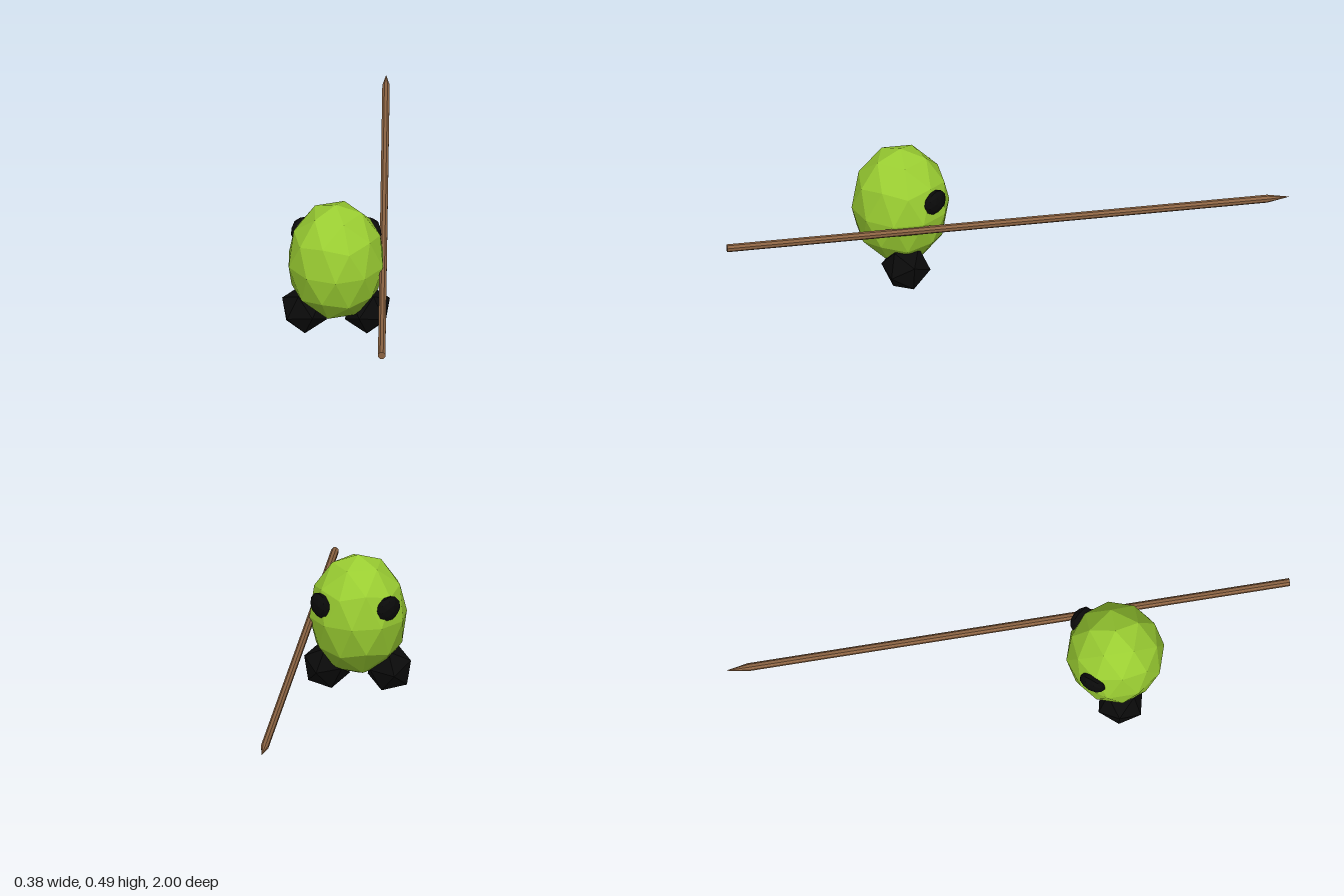
import * as THREE from 'three';

const mat = (name, color) => {
  const m = new THREE.MeshStandardMaterial({ color });
  m.name = name;
  return m;
};

// Unindexed copy with one normal per face
const faceted = (g) => {
  const f = g.index ? g.toNonIndexed() : g;
  f.computeVertexNormals();
  return f;
};

export function createModel() {
  const green = mat('leaf green', 0x9acd32);
  const black = mat('black', 0x0a0a0a);
  const brown = mat('wood brown', 0x8b6342);

  const model = new THREE.Group();
  const add = (name, geometry, material) => {
    const mesh = new THREE.Mesh(geometry, material);
    mesh.name = name;
    model.add(mesh);
    return mesh;
  };
  const Z = 0.354; // depth of the body on the long stick

  // Egg-shaped body: icosphere with a vertex at each pole
  const body = new THREE.IcosahedronGeometry(1, 1);
  body.rotateZ(-Math.atan(2 / (1 + Math.sqrt(5))));
  body.scale(0.1735, 0.221, 0.1735);
  add('body', faceted(body), green).position.set(0, 0.273, Z);

  for (const s of [1, -1]) {
    const side = s > 0 ? 'left' : 'right';

    // Chunky tilted foot
    const foot = new THREE.IcosahedronGeometry(0.087, 0);
    foot.rotateX(0.223);
    foot.rotateZ(s * 1.414);
    add(side + 'Foot', faceted(foot), black).position.set(s * 0.11, 0.078, Z);

    // Flattened eye, looking out towards the pointed end of the stick
    const eye = new THREE.IcosahedronGeometry(1, 1);
    eye.scale(0.05, 0.048, 0.03);
    eye.rotateX(0.2);
    eye.rotateY(Math.PI - s * 0.873);
    add(side + 'Eye', faceted(eye), black).position.set(s * 0.119, 0.335, Z - 0.1);
  }

  // Long stick sharpened at the back end
  const R = 0.014, tip = 0.08;
  const shaft = new THREE.CylinderGeometry(R, R, 2 - tip, 8);
  shaft.rotateY(Math.PI / 8);
  shaft.rotateX(-Math.PI / 2);
  add('stickShaft', faceted(shaft), brown).position.set(0.165, 0.253, tip / 2);

  const point = new THREE.ConeGeometry(R, tip, 8);
  point.rotateY(Math.PI / 8);
  point.rotateX(-Math.PI / 2);
  add('stickPoint', faceted(point), brown).position.set(0.165, 0.253, -1 + tip / 2);

  return model;
}
